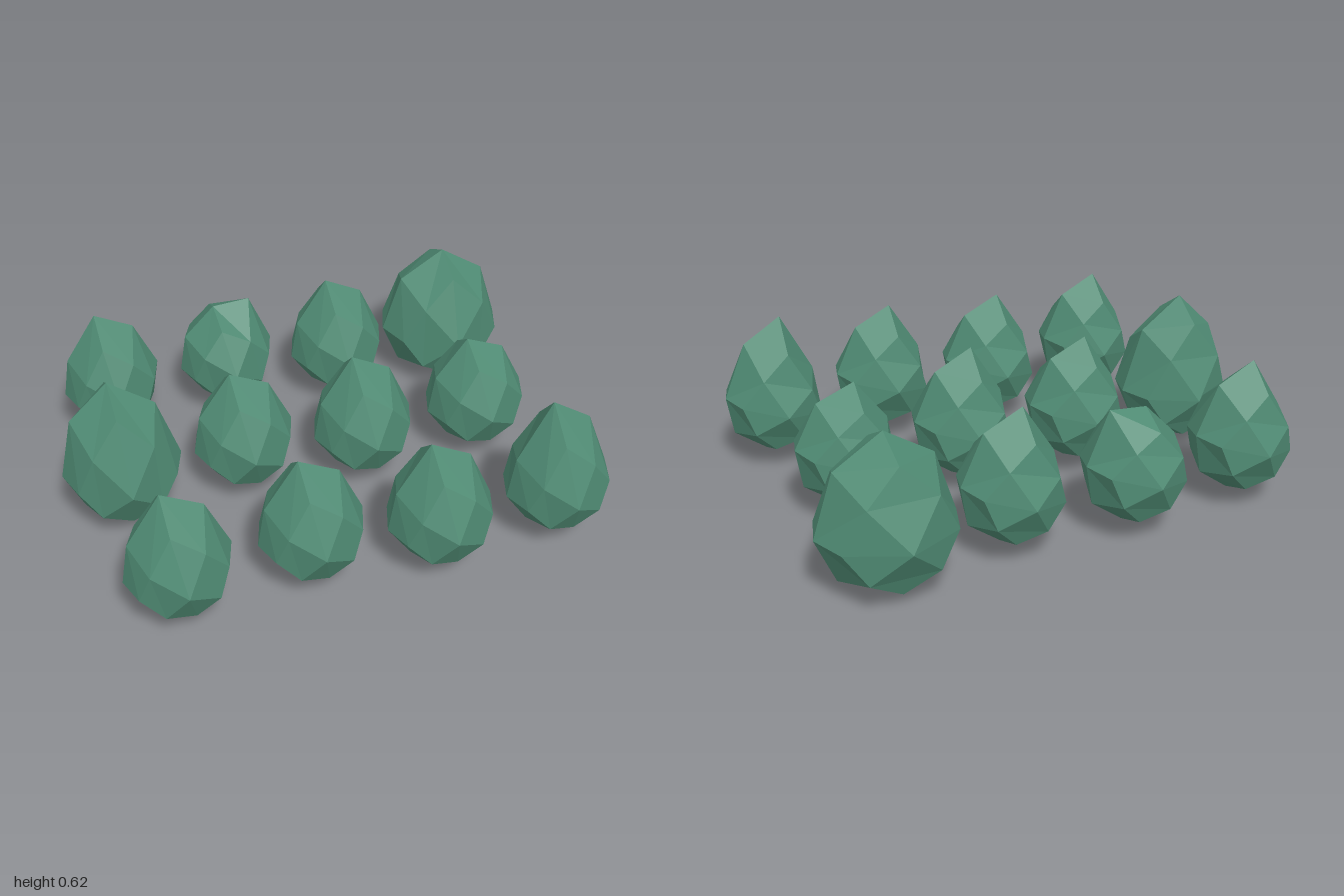
import * as THREE from 'three';

const stone = new THREE.MeshStandardMaterial({ color: 0x4f8a73 });
stone.name = 'mossy green';

// A ball of 24 kite-shaped facets, rolled about z, with its crown drawn up to a peak
function makeStone({ radius, tilt, peak, power, lean = 0, shoulder = 0 }) {
  const box = new THREE.BoxGeometry(2, 2, 2, 2, 2, 2);
  const geo = box.toNonIndexed();
  const pos = geo.attributes.position;
  const v = new THREE.Vector3();
  const turn = THREE.MathUtils.degToRad(45 + tilt);
  const axis = new THREE.Vector3(0, 0, 1);
  const crown = Math.cos(THREE.MathUtils.degToRad(tilt));
  for (let i = 0; i < pos.count; i++) {
    v.fromBufferAttribute(pos, i).normalize().applyAxisAngle(axis, turn);
    const t = Math.max(0, v.y / crown);
    const pull = Math.pow(t, power);
    const side = t > 0.8 && v.x > 0.3 ? shoulder : 0; // raised right shoulder
    v.multiply(radius);
    v.y += (peak - radius.y * crown) * pull + side;
    v.x += lean * pull;
    pos.setXYZ(i, v.x, v.y, v.z);
  }
  geo.computeVertexNormals();
  return geo;
}

const small = new THREE.Vector3(0.2, 0.2, 0.2);
const baseY = 0.245;

// x, z, height of the peak above the ground
const smallStones = [
  [-0.69, 0.615, 0.556], [-0.195, 0.57, 0.548], [0.275, 0.625, 0.556], [0.76, 0.575, 0.6],
  [-0.29, -0.02, 0.538], [0.18, 0.03, 0.556], [0.67, -0.01, 0.52],
  [-0.71, -0.555, 0.553], [-0.215, -0.6, 0.48, 0.055], [0.255, -0.55, 0.55],
];

export function createModel() {
  const group = new THREE.Group();
  group.name = 'stones';
  const add = (name, geo, x, y, z) => {
    const mesh = new THREE.Mesh(geo, stone);
    mesh.name = name;
    mesh.position.set(x, y, z);
    group.add(mesh);
  };

  // Small stones in three loose rows
  smallStones.forEach(([x, z, top, shoulder = 0], i) => {
    add(`smallStone${i + 1}`, makeStone({
      radius: small, tilt: 13, peak: top - baseY, power: 4, shoulder,
    }), x, baseY, z);
  });

  // Tall stone at the right end of the middle row
  add('tallStone', makeStone({
    radius: new THREE.Vector3(0.228, 0.22, 0.222), tilt: 2, peak: 0.38, power: 1.6, lean: -0.02,
  }), -0.772, 0.245, 0.022);

  // Broad stone at the back corner
  add('broadStone', makeStone({
    radius: new THREE.Vector3(0.257, 0.24, 0.238), tilt: 0, peak: 0.345, power: 1.5,
  }), 0.743, 0.24, -0.592);

  return group;
}
